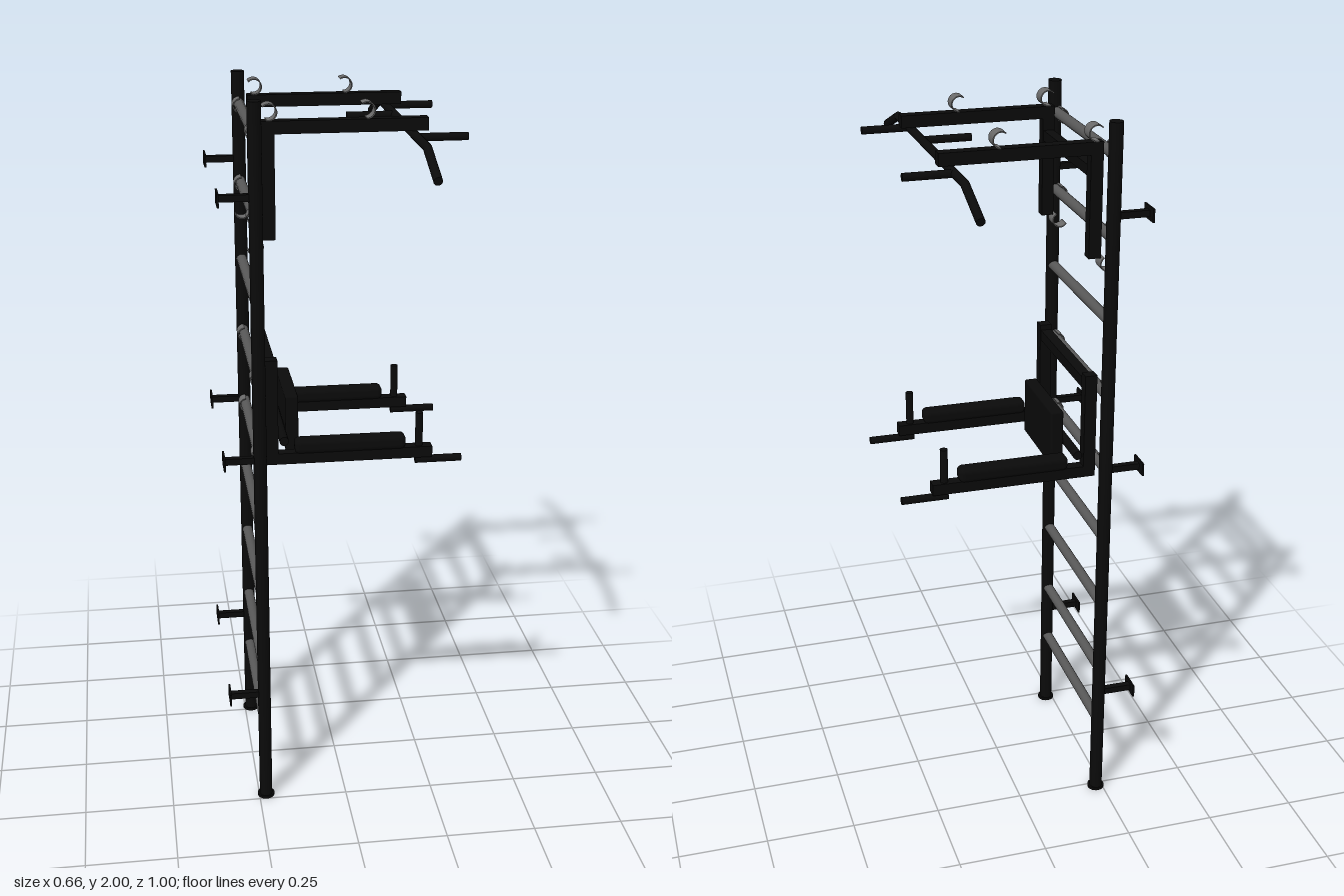
import * as THREE from 'three';
import { RoundedBoxGeometry } from 'three/addons/geometries/RoundedBoxGeometry.js';

const black = new THREE.MeshStandardMaterial({ color: 0x0a0a0a });
black.name = 'black';
const rungGrey = new THREE.MeshStandardMaterial({ color: 0x585858 });
rungGrey.name = 'rung grey';
const hookGrey = new THREE.MeshStandardMaterial({ color: 0x6a6a6a, side: THREE.DoubleSide });
hookGrey.name = 'hook grey';

const POST_X = -0.231, FRAME_X = -0.195;
const POST_Z = [0.228, -0.264];
const ARM_Z = [0.181, -0.218];
const MID_Z = -0.018;

function add(parent, name, geometry, material, x = 0, y = 0, z = 0) {
  const mesh = new THREE.Mesh(geometry, material);
  mesh.name = name;
  mesh.position.set(x, y, z);
  parent.add(mesh);
  return mesh;
}

// Box given by its minimum and maximum corners
function box(parent, name, a, b, material = black) {
  const size = b.map((v, i) => v - a[i]);
  const mid = b.map((v, i) => (v + a[i]) / 2);
  return add(parent, name, new THREE.BoxGeometry(...size), material, ...mid);
}

// Round bar between two points
function rod(parent, name, a, b, r, material = black) {
  const p = new THREE.Vector3(...a), q = new THREE.Vector3(...b);
  const dir = q.clone().sub(p);
  const mesh = add(parent, name, new THREE.CylinderGeometry(r, r, dir.length(), 16), material);
  mesh.position.copy(p.add(q).multiplyScalar(0.5));
  mesh.quaternion.setFromUnitVectors(new THREE.Vector3(0, 1, 0), dir.normalize());
  return mesh;
}

// Curved strip hook, open between its end angles, extruded along z
function hook(parent, x, y, z, r, start, end) {
  const s = new THREE.Shape();
  s.absarc(0, 0, r, start, end, false);
  s.absarc(0, 0, r - 0.003, end, start, true);
  const geo = new THREE.ExtrudeGeometry(s, { depth: 0.04, bevelEnabled: false, curveSegments: 16 });
  geo.translate(0, 0, -0.02);
  add(parent, 'hook', geo, hookGrey, x, y, z);
}

function group(parent, name) {
  const g = new THREE.Group();
  g.name = name;
  parent.add(g);
  return g;
}

export function createModel() {
  const model = new THREE.Group();
  model.name = 'wallBarGym';

  // Ladder: oval posts, feet, wall brackets and rungs
  const ladder = group(model, 'ladder');
  for (const z of POST_Z) {
    const post = add(ladder, 'post', new THREE.CylinderGeometry(1, 1, 2, 24), black, POST_X, 1, z);
    post.scale.set(0.018, 1, 0.021);
    add(ladder, 'foot', new THREE.CylinderGeometry(0.024, 0.024, 0.008, 24), black, POST_X, 0.004, z);
    for (const y of [0.337, 1.05, 1.76]) {
      box(ladder, 'bracketArm', [-0.327, y - 0.009, z - 0.009], [POST_X, y + 0.009, z + 0.009]);
      box(ladder, 'bracketPlate', [-0.33, y - 0.018, z - 0.032], [-0.325, y + 0.018, z + 0.032]);
    }
  }
  for (const y of [0.24, 0.415, 0.63, 0.84, 1.05, 1.265, 1.475, 1.7, 1.915]) {
    rod(ladder, 'rung', [POST_X, y, POST_Z[0]], [POST_X, y, POST_Z[1]], 0.0145, rungGrey);
  }

  // Pull-up frame
  const pull = group(model, 'pullUpFrame');
  for (const z of ARM_Z) {
    box(pull, 'upright', [-0.211, 1.64, z - 0.016], [-0.178, 1.942, z + 0.016]);
    box(pull, 'beam', [-0.211, 1.91, z - 0.016], [0.214, 1.943, z + 0.016]);
    hook(pull, -0.192, 1.965, z, 0.022, -1.9, 2.4);
    hook(pull, 0.056, 1.965, z, 0.022, -1.6, 2.2);
    hook(pull, POST_X, 1.624, z, 0.022, -2.6, 1.0);
  }
  box(pull, 'crossbar', [-0.208, 1.85, ARM_Z[1]], [-0.18, 1.878, ARM_Z[0]]);

  // Pull-up bar with drooping ends and forward and inward grips
  const R = 0.0115;
  rod(pull, 'pullUpBar', [0.18, 1.898, 0.355], [0.18, 1.898, -0.355], R);
  for (const side of [1, -1]) {
    rod(pull, 'barEnd', [0.18, 1.898, 0.355 * side], [0.18, 1.845, 0.496 * side], R);
    add(pull, 'barBend', new THREE.SphereGeometry(R, 16, 10), black, 0.18, 1.898, 0.355 * side);
  }
  for (const z of [0.075, -0.109]) rod(pull, 'innerGrip', [0.048, 1.898, z], [0.18, 1.898, z], 0.0105);
  for (const z of [0.22, -0.258]) rod(pull, 'outerGrip', [0.18, 1.898, z], [0.311, 1.898, z], 0.0105);

  // Dip station: frame, arm pads and handles
  const dip = group(model, 'dipStation');
  for (const z of ARM_Z) {
    box(dip, 'upright', [-0.211, 1.02, z - 0.016], [-0.178, 1.315, z + 0.016]);
    box(dip, 'beam', [-0.211, 1.02, z - 0.016], [0.243, 1.051, z + 0.016]);
    add(dip, 'armPad', new RoundedBoxGeometry(0.303, 0.04, 0.048, 4, 0.014), black, 0.018, 1.068, z);
    rod(dip, 'uprightHandle', [0.208, 1.04, z], [0.208, 1.146, z], 0.0105);
    rod(dip, 'dipHandle', [0.198, 1.009, z], [0.326, 1.009, z], 0.0105);
  }
  box(dip, 'crossbar', [-0.21, 1.27, ARM_Z[1]], [-0.18, 1.3, ARM_Z[0]]);
  rod(dip, 'backrestBar', [-0.162, 1.085, ARM_Z[1] - 0.014], [-0.162, 1.085, ARM_Z[0] + 0.014], 0.0125);
  add(dip, 'backrest', new RoundedBoxGeometry(0.036, 0.16, 0.25, 3, 0.005), black, -0.131, 1.1, -0.02);

  // Small clamps gripping the rungs behind both frames
  for (const y of [1.05, 1.265, 1.7, 1.915]) {
    for (const z of ARM_Z) hook(model, POST_X, y, z, 0.02, Math.PI / 2, Math.PI * 1.5);
  }

  return model;
}
